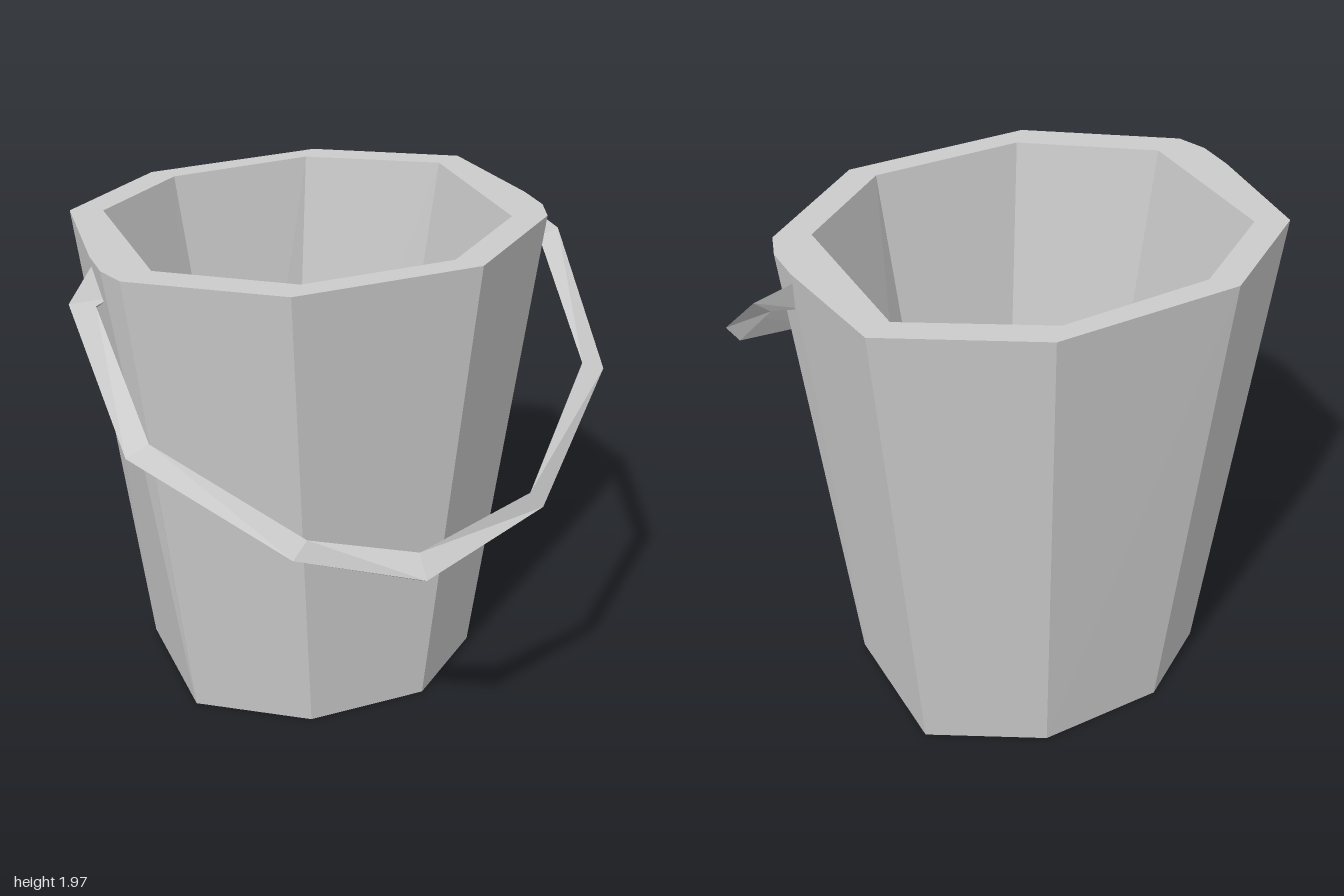
import * as THREE from 'three';

const material = new THREE.MeshStandardMaterial({ color: 0xcccccc, flatShading: true });

// Skin a list of equal-length closed rings of [x, y, z] and cap both ends
function loft(name, rings) {
  const n = rings[0].length;
  const index = [];
  for (let i = 0; i < rings.length - 1; i++) {
    for (let j = 0; j < n; j++) {
      const k = (j + 1) % n;
      const a = i * n + j, b = i * n + k, c = b + n, d = a + n;
      index.push(a, b, c, a, c, d);
    }
  }
  const last = (rings.length - 1) * n;
  for (let j = 1; j < n - 1; j++) {
    index.push(0, j + 1, j, last, last + j, last + j + 1);
  }
  const indexed = new THREE.BufferGeometry();
  indexed.setAttribute('position', new THREE.Float32BufferAttribute(rings.flat(2), 3));
  indexed.setIndex(index);
  const geometry = indexed.toNonIndexed();
  geometry.computeVertexNormals();
  const mesh = new THREE.Mesh(geometry, material);
  mesh.name = name;
  return mesh;
}

const ringAt = (y, points) => points.map(([x, z]) => [x, y, z]);

export function createModel() {
  const group = new THREE.Group();
  group.name = 'bucket';

  // Uneven octagon wall, with two extra points per side for the handle lugs
  const outerBottom = [[-0.22, 0.29], [0.28, 0.29], [0.625, 0.01], [0.625, 0], [0.625, -0.02], [0.625, -0.58],
    [0.21, -0.82], [-0.3, -0.8], [-0.625, -0.57], [-0.625, -0.02], [-0.625, 0], [-0.625, 0.01]];
  const outerTop = [[-0.34, 0.44], [0.4, 0.44], [0.85, 0.085], [0.89, -0.03], [0.89, -0.18], [0.83, -0.67],
    [0.3, -0.98], [-0.42, -0.96], [-0.84, -0.66], [-0.89, -0.18], [-0.89, -0.03], [-0.85, 0.085]];
  const innerTop = [[-0.27, 0.35], [0.33, 0.35], [0.72, 0.04], [0.72, -0.03], [0.72, -0.18], [0.72, -0.62],
    [0.235, -0.9], [-0.35, -0.875], [-0.72, -0.61], [-0.72, -0.18], [-0.72, -0.03], [-0.72, 0.035]];
  const innerBottom = [[-0.12, 0.135], [0.18, 0.135], [0.42, -0.08], [0.42, -0.12], [0.42, -0.22], [0.42, -0.51],
    [0.08, -0.69], [-0.17, -0.665], [-0.42, -0.49], [-0.42, -0.22], [-0.42, -0.12], [-0.42, -0.08]];
  group.add(loft('pail', [
    ringAt(0, outerBottom), ringAt(1.97, outerTop), ringAt(1.97, innerTop), ringAt(0.15, innerBottom),
  ]));

  // Hanging handle of triangular section: inner, outer and underside corner per station
  const rightHalf = [
    [[-0.84, 1.83, -0.1], [-0.86, 1.95, -0.2], [-0.84, 1.8, -0.15]],
    [[-0.905, 1.82, -0.07], [-1, 1.835, -0.09], [-0.94, 1.785, -0.09]],
    [[-0.865, 1.48, 0.4], [-0.955, 1.445, 0.41], [-0.92, 1.405, 0.36]],
    [[-0.435, 1.225, 0.82], [-0.49, 1.155, 0.825], [-0.475, 1.123, 0.765]],
  ];
  const middle = [[-0.045, 1.135, 0.91], [-0.045, 1.055, 0.975], [-0.045, 1.02, 0.913]];
  const leftHalf = rightHalf.map((s) => s.map(([x, y, z]) => [-x, y, z])).reverse();
  group.add(loft('handle', [...rightHalf, middle, ...leftHalf]));

  return group;
}
